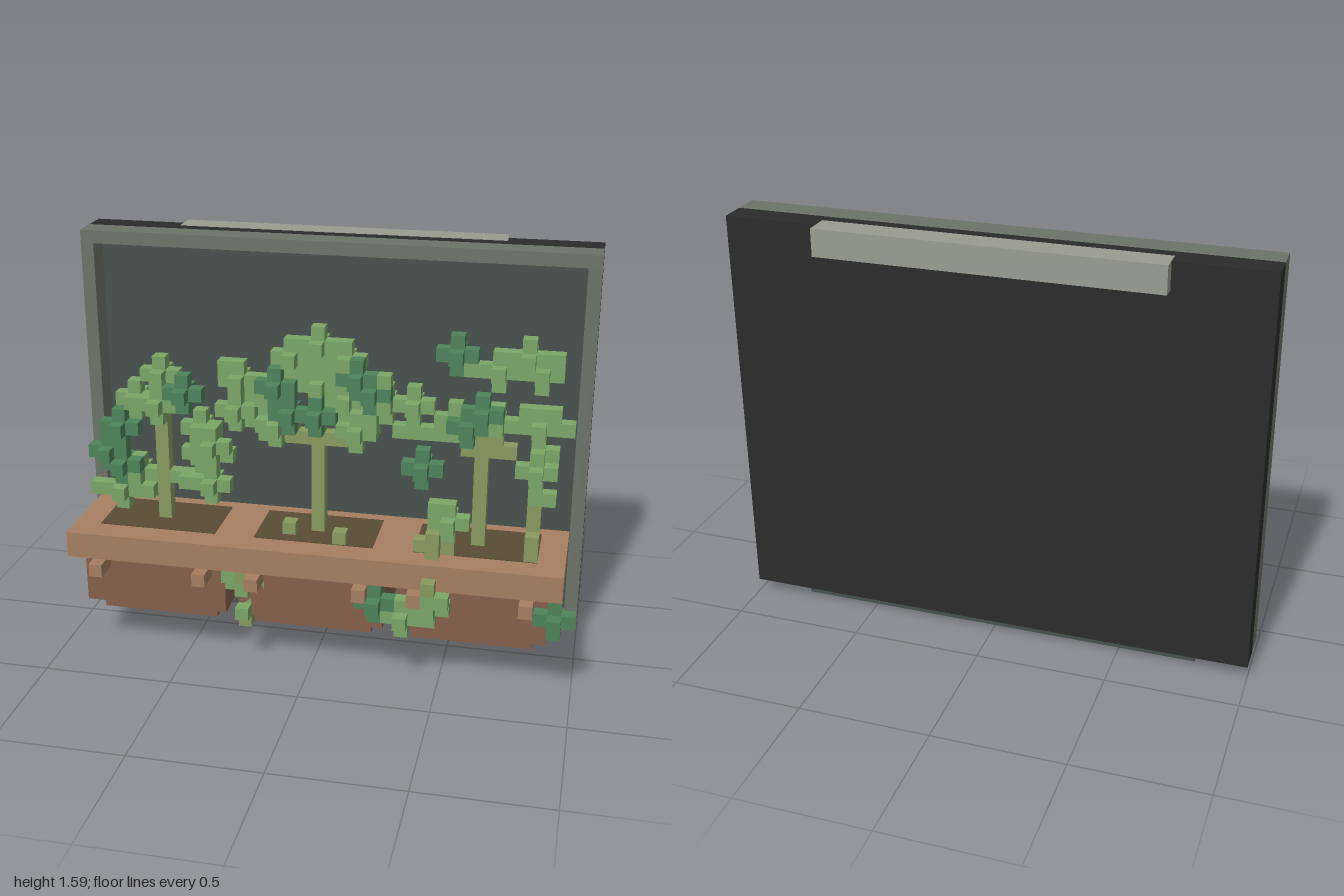
import * as THREE from 'three';
import { mergeGeometries } from 'three/addons/utils/BufferGeometryUtils.js';

const V = 2 / 39; // edge of one block; all coordinates below are in blocks

const mat = (name, color) => {
  const m = new THREE.MeshStandardMaterial({ color });
  m.name = name;
  return m;
};

export function createModel() {
  const root = new THREE.Group();
  const frameGrey = mat('frame grey', 0x6b7368);
  const black = mat('casing black', 0x2b2b2c);
  const panelGrey = mat('panel slate', 0x46514c);
  const metal = mat('bracket grey', 0x999c90);
  const clay = mat('light clay', 0xa67e62);
  const potBrown = mat('pot brown', 0x845f4a);
  const soilBrown = mat('soil', 0x594c35);
  const leafGreen = mat('leaf green', 0x7ba667);
  const darkGreen = mat('dark leaf green', 0x4d835a);
  const stemGreen = mat('stem green', 0x879a5e);

  // box from its extents in blocks
  const box = (name, material, x0, x1, y0, y1, z0, z1, parent = root) => {
    const g = new THREE.BoxGeometry((x1 - x0) * V, (y1 - y0) * V, (z1 - z0) * V);
    g.translate((x0 + x1) / 2 * V, (y0 + y1) / 2 * V, (z0 + z1) / 2 * V);
    const m = new THREE.Mesh(g, material);
    m.name = name;
    parent.add(m);
    return m;
  };

  // wall panel: casing, recessed face, border, foot and rear rail
  box('backCasing', black, -19.5, 19.5, 1, 31, -6.5, -4.5);
  box('recessedPanel', panelGrey, -18.5, 18.5, 2, 30, -4.5, -4.4);
  box('frameTop', frameGrey, -19.5, 19.5, 30, 31, -4.5, -2.5);
  box('frameBottom', frameGrey, -19.5, 19.5, 1, 2, -4.5, -2.5);
  for (const s of [-1, 1]) {
    const x = s * 19;
    box('frameSide', frameGrey, x - 0.5, x + 0.5, 2, 30, -4.5, -2.5);
  }
  box('foot', panelGrey, -15.5, 15.5, 0, 1, -5.5, -3.5);
  box('rearRail', metal, -12.5, 12.5, 29, 31.04, -7.5, -5.5);

  // planter: shared rim and three pots with soil, brackets and pegs
  box('planterRim', clay, -18.5, 18.5, 8, 10, -1.5, 6.5);
  for (const c of [-12, 0, 12]) {
    const pot = new THREE.Group();
    pot.name = 'pot';
    root.add(pot);
    box('potBody', potBrown, c - 5.5, c + 5.5, 4, 8, -0.5, 5.5, pot);
    box('potBase', potBrown, c - 4.5, c + 4.5, 3, 4, 0.5, 4.5, pot);
    box('soil', soilBrown, c - 4.5, c + 4.5, 10, 10.05, -0.5, 4.5, pot);
    for (const s of [-1, 1]) {
      const b = c + s * 3.5;
      box('bracket', metal, b - 1, b + 1, 2, 5, -2.5, 0.5, pot);
      const p = c + s * 4;
      box('peg', clay, p - 0.5, p + 0.5, 7, 8, 5.5, 7.5, pot);
    }
  }

  // block plants: each cell is kept once, first colour wins
  const PLUS = [[0, 0, 0], [1, 0, 0], [-1, 0, 0], [0, 1, 0], [0, -1, 0], [0, 0, 1], [0, 0, -1]];
  const plant = (name, { stems = [], dark = [], light = [], single = [] }) => {
    const used = new Set();
    const group = new THREE.Group();
    group.name = name;
    const parts = { stem: [], darkLeaves: [], lightLeaves: [] };
    const cell = (part, x, y, z) => {
      const key = `${x},${y},${z}`;
      if (used.has(key)) return;
      used.add(key);
      const g = new THREE.BoxGeometry(V, V, V);
      g.translate(x * V, (y + 0.5) * V, z * V);
      parts[part].push(g);
    };
    const tuft = (part) => ([x, y, z]) => PLUS.forEach(([a, b, c]) => cell(part, x + a, y + b, z + c));
    // stem run: x, first row, last row, z
    stems.forEach(([x, y0, y1, z]) => { for (let y = y0; y <= y1; y++) cell('stem', x, y, z); });
    dark.forEach(tuft('darkLeaves'));
    light.forEach(tuft('lightLeaves'));
    single.forEach(([x, y, z]) => cell('lightLeaves', x, y, z));
    const mats = { stem: stemGreen, darkLeaves: darkGreen, lightLeaves: leafGreen };
    for (const part in parts) {
      if (!parts[part].length) continue;
      const m = new THREE.Mesh(mergeGeometries(parts[part]), mats[part]);
      m.name = part;
      group.add(m);
    }
    root.add(group);
  };

  plant('rightTree', {
    stems: [[-12, 10, 19, 2]],
    dark: [[-10, 20, 3], [-15, 17, 3], [-16, 15, 3], [-15, 14, 3]],
    light: [[-12, 21, 2], [-14, 19, 2], [-12, 19, 3], [-9, 17, 2], [-8, 16, 3], [-9, 15, 2],
      [-8, 13, 3], [-15, 12, 3], [-14, 13, 2]],
    single: [[-17, 12, 3], [-13, 12, 3], [-11, 13, 2], [-10, 13, 2], [-7, 15, 2], [-10, 13, 3]],
  });

  plant('middleTree', {
    stems: [[0, 10, 18, 2], [-1, 17, 17, 2], [1, 17, 17, 2], [-2, 17, 18, 2], [2, 17, 18, 2],
      [-2, 10, 10, 3], [2, 10, 10, 4]],
    dark: [[3, 22, 3], [4, 21, 3], [-3, 21, 3], [0, 19, 3], [-2, 19, 3]],
    light: [[0, 24, 2], [-2, 23, 2], [2, 23, 2], [0, 21, 2], [2, 20, 2], [-6, 21, 2], [-6, 19, 3],
      [-4, 20, 2], [-4, 18, 2], [-3, 18, 3], [4, 19, 2], [3, 18, 3], [5, 20, 2], [7, 20, 2]],
    single: [[-7, 22, 2], [1, 22, 2], [-1, 22, 2], [5, 22, 3], [7, 18, 2], [6, 18, 2], [8, 18, 2],
      [9, 18, 2], [9, 19, 2]],
  });

  plant('leftTree', {
    stems: [[12, 10, 18, 2], [11, 17, 17, 2], [13, 17, 18, 2], [14, 17, 17, 2], [16, 10, 11, 4],
      [16, 12, 13, 3]],
    dark: [[10, 24, 2], [12, 20, 3], [11, 19, 3], [8, 16, 4]],
    light: [[15, 24, 2], [16, 23, 2], [13, 23, 2], [10, 19, 2], [13, 19, 2], [16, 19, 2], [16, 16, 3]],
    single: [[11, 23, 2], [17, 24, 2], [17, 20, 2], [15, 20, 2], [18, 19, 2], [17, 17, 2],
      [16, 14, 3], [17, 14, 3], [16, 13, 2]],
  });

  // small shrub and the vines trailing over the rim
  plant('shrub', {
    stems: [[8, 10, 10, 4], [9, 10, 11, 5], [10, 10, 10, 4]],
    light: [[10, 12, 4]],
    single: [[9, 13, 4], [9, 11, 4]],
  });
  plant('trailingVines', {
    stems: [[9, 8, 8, 7], [-5, 7, 7, 6], [-5, 3, 3, 5]],
    dark: [[5, 6, 6], [18, 6, 6]],
    light: [[7, 5, 6], [9, 6, 6], [-5, 6, 5]],
    single: [[10, 7, 7], [9, 7, 7], [-5, 4, 6], [-4, 7, 6], [-6, 7, 6]],
  });

  return root;
}
